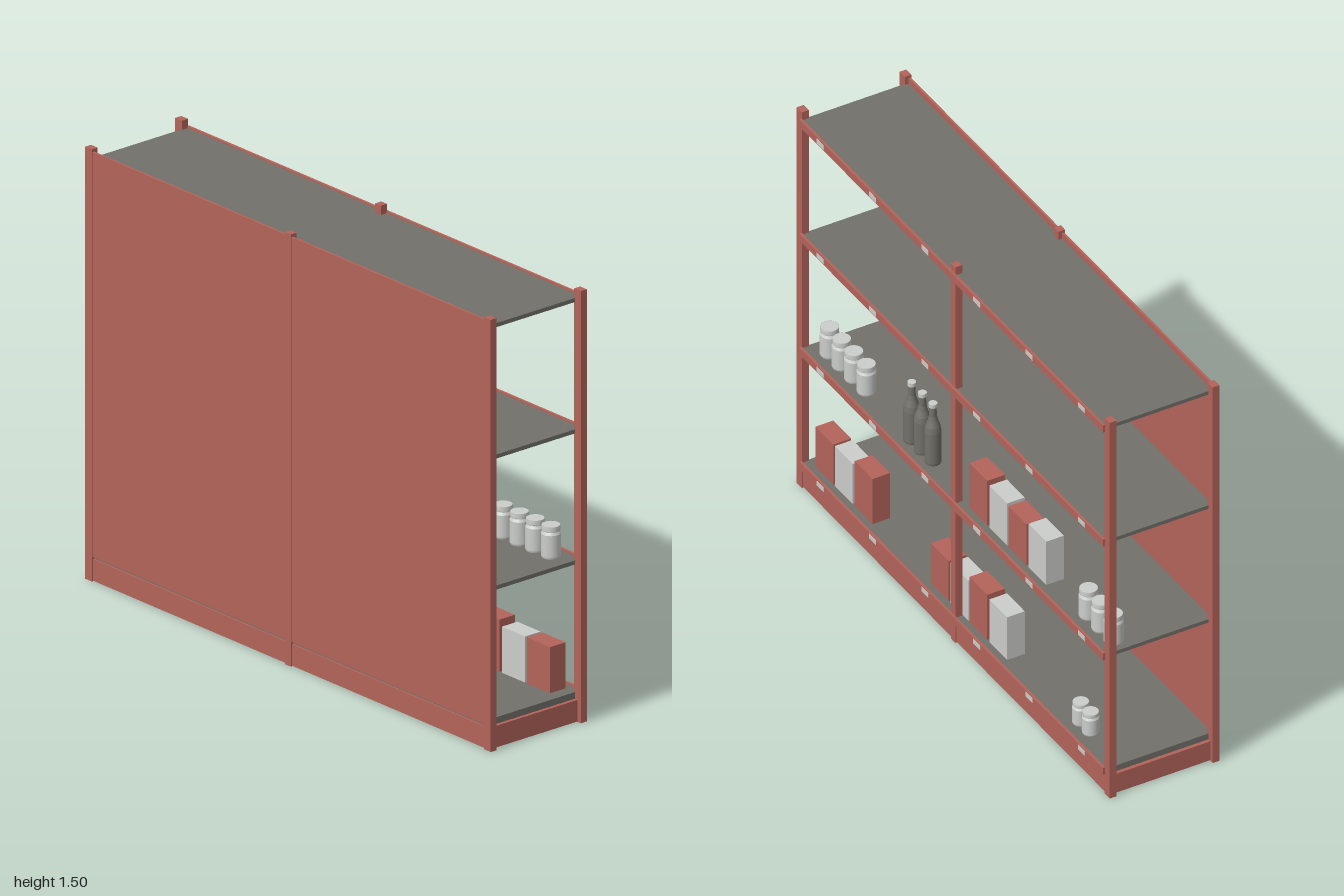
import * as THREE from 'three';

export function createModel() {
  const root = new THREE.Group();
  const mat = (name, color) => {
    const m = new THREE.MeshStandardMaterial({ color });
    m.name = name;
    return m;
  };
  const red = mat('brick red', 0xb3645a);
  const grey = mat('shelf grey', 0x72716a);
  const white = mat('pale grey', 0xcccecb);

  const add = (name, geometry, material, x = 0, y = 0, z = 0) => {
    const mesh = new THREE.Mesh(geometry, material);
    mesh.name = name;
    mesh.position.set(x, y, z);
    root.add(mesh);
    return mesh;
  };
  // box given by its limits on each axis
  const box = (name, material, x0, x1, y0, y1, z0, z1) =>
    add(name, new THREE.BoxGeometry(x1 - x0, y1 - y0, z1 - z0), material,
      (x0 + x1) / 2, (y0 + y1) / 2, (z0 + z1) / 2);
  // turned shape from [radius, height] pairs, with crisp profile corners
  const lathe = (points) => {
    const fine = [];
    points.forEach(([r, y], i) => {
      fine.push(new THREE.Vector2(r, y));
      if (i > 0 && i < points.length - 1) {
        const [nr, ny] = points[i + 1];
        fine.push(new THREE.Vector2(r + (nr - r) * 0.04, y + (ny - y) * 0.04));
      }
    });
    return new THREE.LatheGeometry(fine, 20);
  };

  // uprights
  for (const [z0, z1] of [[-1, -0.967], [-0.014, 0.014], [0.967, 1]]) {
    box('backPost', red, -0.21, -0.185, 0, 1.5, z0, z1);
    box('frontPost', red, 0.174, 0.2, 0, 1.5, z0, z1);
  }

  // plinth and the two back panels
  box('plinth', red, -0.205, 0.195, 0.002, 0.077, -0.985, 0.985);
  box('backPanel', red, -0.207, -0.199, 0.085, 1.49, 0.0145, 0.975);
  box('backPanel', red, -0.207, -0.199, 0.085, 1.49, -0.975, -0.0145);

  // shelves, each with a front rail and price tags
  for (const top of [0.1, 0.557, 1.012, 1.468]) {
    box('shelf', grey, -0.199, 0.199, top - 0.014, top, -0.972, 0.972);
    box('shelfRail', red, 0.199, 0.208, top - 0.022, top + 0.006, -0.97, 0.97);
    for (const z of [-0.835, -0.5, -0.165, 0.165, 0.5, 0.835])
      box('priceTag', white, 0.207, 0.2095, top - 0.017, top + 0.001, z - 0.022, z + 0.022);
  }
  box('bottomShelfFrame', grey, -0.199, 0.195, 0.077, 0.086, -0.972, 0.972);

  // cartons: [shelf height, top, centre z, material]
  const cartons = [
    [0.557, 0.735, -0.113, red], [0.557, 0.725, -0.24, white],
    [0.557, 0.72, -0.363, red], [0.557, 0.73, -0.49, white],
    [0.1, 0.26, 0.87, red], [0.1, 0.26, 0.747, white], [0.1, 0.28, 0.62, red],
    [0.1, 0.26, 0.133, red], [0.1, 0.26, 0.008, white],
    [0.1, 0.28, -0.113, red], [0.1, 0.27, -0.24, white],
  ];
  for (const [y0, y1, z, material] of cartons)
    box('carton', material, 0.106, 0.172, y0, y1, z - 0.057, z + 0.057);

  // jars with lids
  const jarShape = (h, r) => lathe([
    [0, 0], [r * 0.93, 0], [r, h * 0.05], [r, h * 0.74], [r * 0.85, h * 0.82],
    [r * 0.85, h * 0.85], [r * 0.93, h * 0.85], [r * 0.93, h], [0, h],
  ]);
  const tallJar = jarShape(0.112, 0.033);
  for (const z of [0.895, 0.818, 0.74, 0.66, -0.76, -0.84, -0.92])
    add('jar', tallJar, white, 0.138, 0.557, z);
  const smallJar = jarShape(0.084, 0.029);
  for (const z of [-0.71, -0.773]) add('smallJar', smallJar, white, 0.138, 0.1, z);

  // bottles with pale caps
  const bottle = lathe([
    [0, 0], [0.026, 0], [0.028, 0.006], [0.028, 0.125], [0.025, 0.145],
    [0.017, 0.168], [0.013, 0.185], [0.012, 0.222], [0, 0.222],
  ]);
  const cap = new THREE.CylinderGeometry(0.0145, 0.0145, 0.014, 20);
  for (const z of [0.355, 0.287, 0.22]) {
    add('bottle', bottle, grey, 0.147, 0.557, z);
    add('bottleCap', cap, white, 0.147, 0.785, z);
  }
  return root;
}
